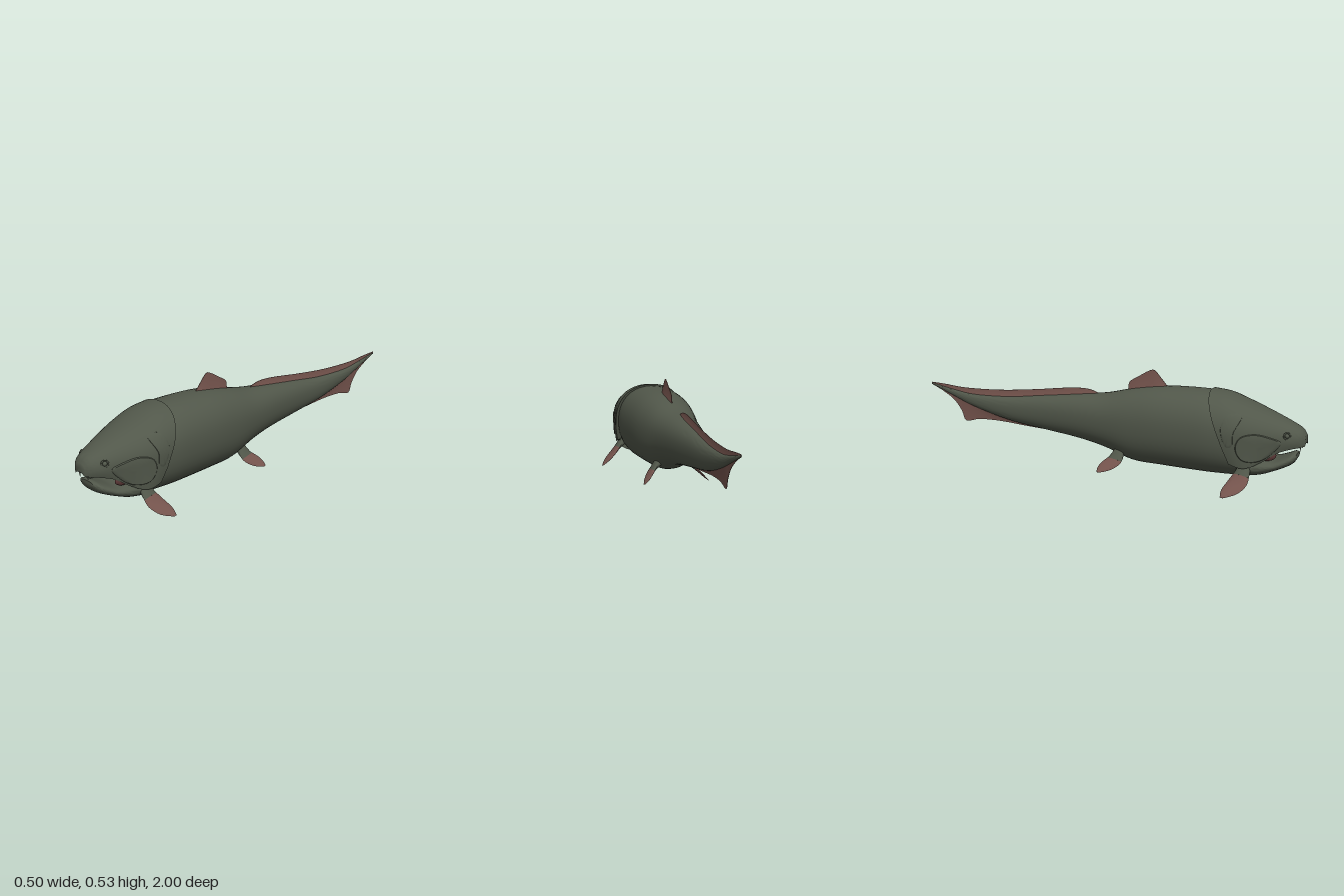
import * as THREE from 'three';
import { toCreasedNormals } from 'three/addons/utils/BufferGeometryUtils.js';

const material = (name, color) => {
  const m = new THREE.MeshStandardMaterial({ color, side: THREE.DoubleSide });
  m.name = name;
  return m;
};

// Skin over a list of closed rings, with a fan at each end
function loft(rings, crease = 0.7) {
  const n = rings[0].length, pos = [], idx = [];
  rings.forEach(r => r.forEach(p => pos.push(...p)));
  for (let j = 0; j < rings.length - 1; j++) {
    for (let i = 0; i < n; i++) {
      const a = j * n + i, b = j * n + (i + 1) % n;
      idx.push(a, a + n, b, b, a + n, b + n);
    }
  }
  [0, rings.length - 1].forEach((j, end) => {
    const c = pos.length / 3;
    pos.push(...[0, 1, 2].map(k => rings[j].reduce((s, p) => s + p[k], 0) / n));
    for (let i = 0; i < n; i++) {
      const a = j * n + i, b = j * n + (i + 1) % n;
      idx.push(...(end ? [c, b, a] : [c, a, b]));
    }
  });
  const g = new THREE.BufferGeometry();
  g.setAttribute('position', new THREE.Float32BufferAttribute(pos, 3));
  g.setIndex(idx);
  return toCreasedNormals(g, crease);
}

// Smoothly subdivide rows of section values
function smooth(rows, steps = 5) {
  const out = [], at = i => rows[Math.max(0, Math.min(rows.length - 1, i))];
  for (let i = 0; i < rows.length - 1; i++) {
    for (let s = 0; s < steps; s++) {
      const t = s / steps;
      out.push(rows[i].map((b, k) => {
        const a = at(i - 1)[k], c = at(i + 1)[k], d = at(i + 2)[k];
        return b + 0.5 * t * (c - a + t * (2 * a - 5 * b + 4 * c - d + t * (3 * (b - c) + d - a)));
      }));
    }
  }
  out.push(rows[rows.length - 1]);
  return out;
}

const spow = (v, e) => Math.sign(v) * Math.pow(Math.abs(v), e);

// Rounded closed section: z, top, bottom, half width
function oval([z, top, bot, w], n = 40) {
  const mid = bot + 0.54 * (top - bot);
  return Array.from({ length: n }, (_, i) => {
    const a = i / n * Math.PI * 2, s = spow(Math.sin(a), 0.9);
    return [w * spow(Math.cos(a), 0.9), mid + s * (s > 0 ? top - mid : mid - bot), z];
  });
}

// Skull sections: z, top, half width, widest height, cheek bottom, mouth roof
const skullRows = smooth([
  [0.54, 0.463, 0.181, 0.28, 0.14, 0.2], [0.62, 0.452, 0.178, 0.275, 0.125, 0.2],
  [0.7, 0.422, 0.168, 0.27, 0.125, 0.2], [0.8, 0.385, 0.143, 0.26, 0.145, 0.21],
  [0.88, 0.352, 0.111, 0.255, 0.195, 0.225], [0.94, 0.325, 0.085, 0.25, 0.215, 0.237],
  [0.98, 0.303, 0.06, 0.25, 0.222, 0.24], [1.0, 0.275, 0.035, 0.25, 0.225, 0.238],
]).reverse();

// The rear edge of the skull slants forward towards the belly
const slant = (z, y) => (0.46 - y) * 0.4 * Math.max(0, Math.min(1, (0.8 - z) / 0.26));

function skullRing([z, top, w, mid, side, roof]) {
  const pts = [];
  for (let i = 0; i <= 28; i++) {
    const a = i / 28 * Math.PI;
    pts.push([w * spow(Math.cos(a), 0.9), mid + (top - mid) * spow(Math.sin(a), 0.9)]);
  }
  const lower = [[0.98, (mid + side) / 2], [0.9, side], [0.8, side + 0.004], [0.6, roof - 0.004]];
  lower.forEach(([f, y]) => pts.push([-w * f, y]));
  pts.push([0, roof]);
  lower.reverse().forEach(([f, y]) => pts.push([w * f, y]));
  return pts.map(([x, y]) => [x, y, z + slant(z, y)]);
}

// Half width of the skull surface at a side position
function skullX(z, y) {
  let z0 = z;
  for (let i = 0; i < 8; i++) z0 = z - slant(z0, y);
  let i = skullRows.findIndex(r => r[0] <= z0);
  i = Math.max(1, i);
  const a = skullRows[i - 1], b = skullRows[i], t = (z0 - a[0]) / (b[0] - a[0]);
  const [, top, w, mid, side] = a.map((v, k) => v + (b[k] - v) * t);
  if (y < mid) return w * (1 - 0.08 * Math.min(1, (mid - y) / (mid - side)));
  return w * Math.pow(Math.max(0, 1 - Math.pow((y - mid) / (top - mid), 2.2)), 1 / 2.2);
}

// Raised plate lying on the skull, outlined by z, y points
function platePatch(outline, sx, height) {
  const curve = new THREE.CatmullRomCurve3(outline.map(([z, y]) => new THREE.Vector3(0, y, z)), true);
  const pts = curve.getPoints(48).slice(0, 48);
  const c = pts.reduce((s, p) => s.add(p), new THREE.Vector3()).divideScalar(48);
  const rings = [[1, -0.008], [1, height * 0.5], [0.96, height], [0.8, height], [0.5, height], [0.2, height]];
  return loft(rings.map(([s, h]) => pts.map(p => {
    const q = c.clone().lerp(p, s);
    return [sx * (skullX(q.z, q.y) + h), q.y, q.z];
  })));
}

// Upright fin on the midline: z, root height, edge height, half thickness
const midFin = rows => loft(smooth(rows, 4).map(([z, root, edge, t]) =>
  [[t, root, z], [t * 0.25, root + (edge - root) * 0.5, z], [0.001, edge, z],
    [-0.001, edge, z], [-t * 0.25, root + (edge - root) * 0.5, z], [-t, root, z]]));

// Paired fin: x, y, z, half chord, half thickness from root to tip
function pairedFin(rows, sx) {
  return loft(rows.map(([x, y, z, c, t], i) => {
    const p = rows[Math.max(0, i - 1)], q = rows[Math.min(rows.length - 1, i + 1)];
    const d = new THREE.Vector3(q[0] - p[0], q[1] - p[1], 0).normalize();
    return Array.from({ length: 12 }, (_, k) => {
      const a = k / 12 * Math.PI * 2, u = Math.cos(a) * c, v = Math.sin(a) * t;
      return [sx * (x - d.y * v + d.x * u * 0.2), y + d.x * v + d.y * u * 0.2, z + u];
    });
  }), 1.2);
}

export function createModel() {
  const model = new THREE.Group();
  const skin = material('dark olive skin', 0x51574a);
  const finRed = material('reddish fin', 0x75544d);
  const mouthRed = material('mouth red', 0x5e3a38);
  const add = (name, geometry, mat) => {
    const m = new THREE.Mesh(geometry, mat);
    m.name = name;
    model.add(m);
    return m;
  };

  // Trunk and tail
  add('trunk', loft(smooth([
    [0.79, 0.24, 0.085, 0.09], [0.75, 0.34, 0.065, 0.135], [0.68, 0.41, 0.055, 0.155],
    [0.6, 0.443, 0.054, 0.17], [0.5, 0.457, 0.056, 0.176], [0.3, 0.455, 0.065, 0.166],
    [0.15, 0.435, 0.075, 0.146], [0, 0.4, 0.125, 0.117], [-0.15, 0.383, 0.158, 0.092],
    [-0.35, 0.36, 0.185, 0.062], [-0.55, 0.338, 0.215, 0.039], [-0.75, 0.335, 0.27, 0.021],
    [-0.88, 0.353, 0.322, 0.01], [-1, 0.378, 0.37, 0.002],
  ]).map(r => oval(r))), skin);

  // Head shield and lower jaw
  add('headShield', loft(skullRows.map(skullRing)), skin);
  add('lowerJaw', loft(smooth([
    [0.962, 0.185, 0.16, 0.045], [0.945, 0.187, 0.135, 0.075], [0.91, 0.172, 0.115, 0.093],
    [0.86, 0.155, 0.095, 0.111], [0.8, 0.16, 0.073, 0.126], [0.72, 0.17, 0.06, 0.14],
  ]).map(r => oval(r))), skin);

  // Midline fins
  add('dorsalFin', midFin([
    [0.315, 0.44, 0.45, 0.006], [0.28, 0.44, 0.492, 0.01], [0.245, 0.435, 0.529, 0.012],
    [0.215, 0.43, 0.525, 0.012], [0.16, 0.425, 0.493, 0.01], [0.115, 0.415, 0.464, 0.006],
    [0.11, 0.415, 0.43, 0.003],
  ]), finRed);
  add('upperTailFin', midFin([
    [-0.04, 0.38, 0.39, 0.006], [-0.1, 0.375, 0.41, 0.011], [-0.2, 0.365, 0.41, 0.012],
    [-0.4, 0.34, 0.386, 0.011], [-0.6, 0.325, 0.368, 0.009], [-0.8, 0.325, 0.365, 0.007],
    [-0.92, 0.345, 0.376, 0.004], [-1, 0.372, 0.381, 0.002],
  ]), finRed);
  add('lowerTailFin', midFin([
    [-0.3, 0.2, 0.178, 0.01], [-0.45, 0.215, 0.19, 0.012], [-0.6, 0.24, 0.203, 0.01],
    [-0.72, 0.275, 0.203, 0.008], [-0.8, 0.3, 0.188, 0.006], [-0.825, 0.31, 0.24, 0.005],
    [-0.87, 0.33, 0.297, 0.004], [-0.94, 0.35, 0.342, 0.003], [-1, 0.375, 0.37, 0.002],
  ]), finRed);

  const pectoral = smooth([
    [0.11, 0.13, 0.735, 0.03, 0.024], [0.145, 0.094, 0.73, 0.037, 0.014], [0.18, 0.057, 0.717, 0.046, 0.008],
    [0.22, 0.023, 0.69, 0.039, 0.005], [0.25, 0, 0.662, 0.008, 0.001],
  ], 4);
  const pelvic = smooth([
    [0.08, 0.125, 0.09, 0.028, 0.02], [0.108, 0.096, 0.082, 0.037, 0.01], [0.13, 0.073, 0.062, 0.042, 0.006],
    [0.152, 0.05, 0.035, 0.032, 0.004], [0.17, 0.034, 0.012, 0.007, 0.001],
  ], 4);
  const cheek = [[0.9, 0.25], [0.86, 0.272], [0.78, 0.29], [0.72, 0.272], [0.7, 0.22], [0.73, 0.165], [0.8, 0.157], [0.86, 0.195]];
  const temple = [[0.72, 0.37], [0.66, 0.375], [0.63, 0.31], [0.66, 0.22], [0.685, 0.23], [0.69, 0.29]];

  for (const [side, sx] of [['left', 1], ['right', -1]]) {
    // Paired fins with fleshy roots and red blades
    for (const [name, rows] of [['PectoralFin', pectoral], ['PelvicFin', pelvic]]) {
      add(side + name + 'Root', pairedFin(rows.slice(0, 6), sx), skin);
      add(side + name, pairedFin(rows.slice(5), sx), finRed);
    }
    // Cheek and temple armour
    add(side + 'CheekPlate', platePatch(cheek, sx, 0.007), skin);
    add(side + 'TemplePlate', platePatch(temple, sx, 0.003), skin);

    // Eye inside a bony ring
    const ex = skullX(0.925, 0.281);
    add(side + 'Eye', new THREE.SphereGeometry(0.011, 20, 14), skin).position.set(sx * ex, 0.281, 0.925);
    const ring = add(side + 'EyeRing', new THREE.TorusGeometry(0.015, 0.004, 8, 24), skin);
    ring.position.set(sx * ex, 0.281, 0.925);
    ring.rotation.y = sx * 1.0;

    // Upper fangs: x, z, length, radius
    for (const [x, z, len, r] of [[0.03, 0.978, 0.055, 0.011], [0.056, 0.955, 0.032, 0.009], [0.012, 0.985, 0.025, 0.007]]) {
      const fang = add(side + 'Fang', new THREE.ConeGeometry(r, len, 12), skin);
      fang.position.set(sx * x, 0.253 - len / 2, z);
      fang.rotation.x = Math.PI;
    }
    // Flesh at the corner of the mouth
    const flesh = add(side + 'MouthCorner', new THREE.SphereGeometry(1, 16, 10), mouthRed);
    flesh.scale.set(0.012, 0.03, 0.05);
    flesh.position.set(sx * 0.094, 0.185, 0.83);
  }
  // Gum behind the front fangs
  const gum = add('gum', new THREE.SphereGeometry(1, 16, 10), mouthRed);
  gum.scale.set(0.03, 0.015, 0.03);
  gum.position.set(0, 0.235, 0.945);

  return model;
}
